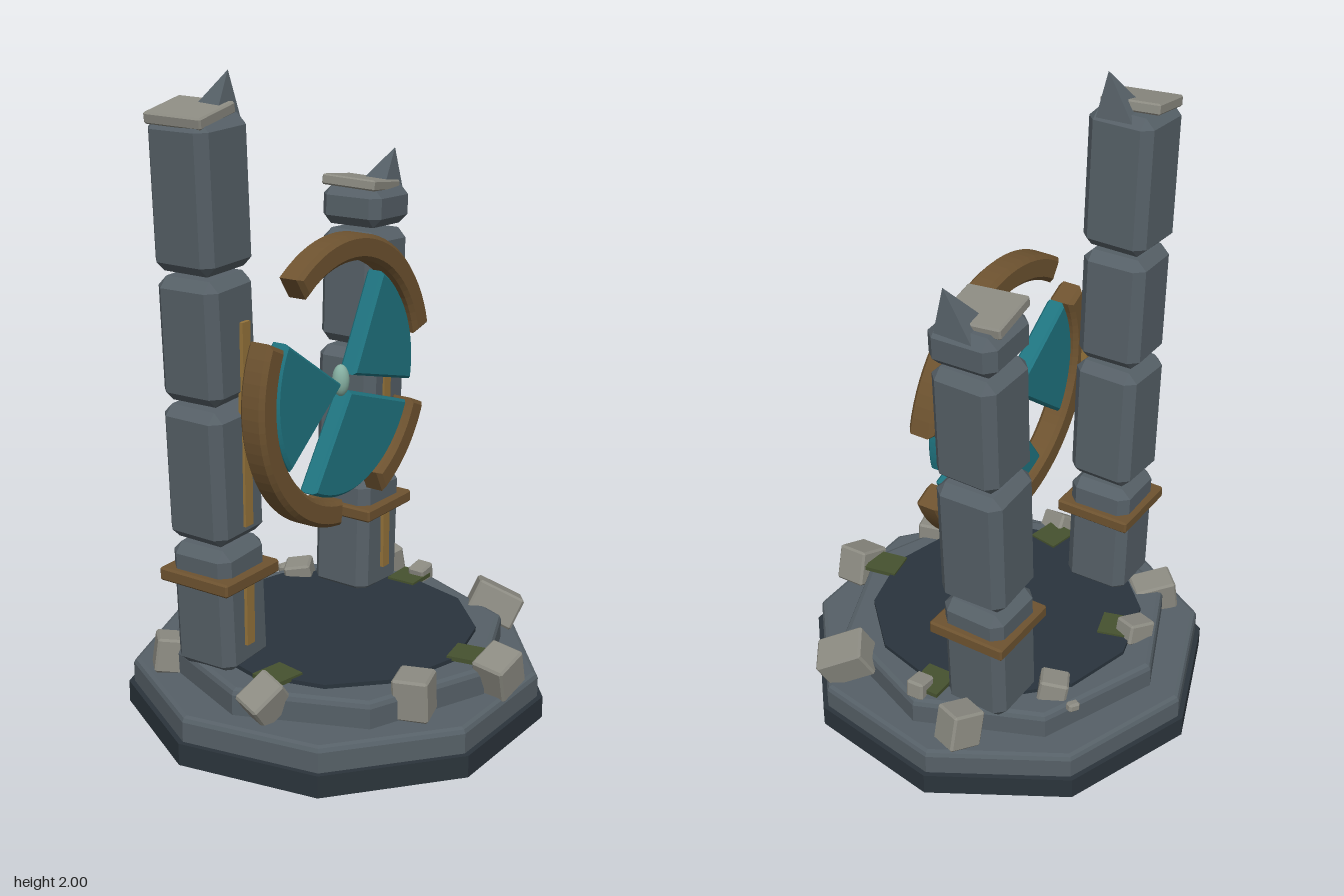
import * as THREE from 'three';
import { ConvexGeometry } from 'three/addons/geometries/ConvexGeometry.js';

const mat = (color, flatShading = true) => new THREE.MeshStandardMaterial({ color, flatShading });
const stone = mat(0x566067), darkStone = mat(0x2b343b), floorStone = mat(0x2a343d);
const bronze = mat(0x6e5330), gold = mat(0x94733a), teal = mat(0x1f7480);
const pearl = mat(0x86b0a2, false), rubble = mat(0x8c8b82), moss = mat(0x46522f);
const rad = THREE.MathUtils.degToRad;

function add(parent, name, geometry, material, x = 0, y = 0, z = 0) {
  const mesh = new THREE.Mesh(geometry, material);
  mesh.name = name;
  mesh.position.set(x, y, z);
  parent.add(mesh);
  return mesh;
}

// Box with every edge cut off by c
function chamferBox(w, h, d, c) {
  const pts = [];
  for (const sx of [-1, 1]) for (const sy of [-1, 1]) for (const sz of [-1, 1]) {
    const x = w / 2, y = h / 2, z = d / 2;
    pts.push(new THREE.Vector3(sx * x, sy * (y - c), sz * (z - c)),
      new THREE.Vector3(sx * (x - c), sy * y, sz * (z - c)),
      new THREE.Vector3(sx * (x - c), sy * (y - c), sz * z));
  }
  return new ConvexGeometry(pts);
}

// Leaning four-sided splinter of stone
function shard(r, h, tipX, tipZ) {
  const pts = [new THREE.Vector3(tipX, h, tipZ)];
  for (const [x, z] of [[-1, -1], [1, -1], [1, 1], [-1, 1]]) pts.push(new THREE.Vector3(x * r, 0, z * r));
  return new ConvexGeometry(pts);
}

// Flat outline given depth and a narrow bevel, centred on z = 0
function plate(shape, depth, bevel) {
  const g = new THREE.ExtrudeGeometry(shape, {
    depth: depth - 2 * bevel, bevelEnabled: true, bevelSize: bevel, bevelThickness: bevel,
    bevelSegments: 1, curveSegments: 12,
  });
  return g.translate(0, 0, bevel - depth / 2);
}

function tier(parent, name, profile, sides, start, material) {
  const pts = profile.map(([r, y]) => new THREE.Vector2(r, y));
  return add(parent, name, new THREE.LatheGeometry(pts, sides, rad(start)), material);
}

function buildBase() {
  const base = new THREE.Group();
  base.name = 'base';
  base.position.set(0.005, 0, 0.008);
  tier(base, 'foundation', [[0, 0], [0.662, 0], [0.662, 0.07], [0, 0.07]], 9, 25, darkStone);
  tier(base, 'lowerStep', [[0, 0.07], [0.645, 0.07], [0.645, 0.133], [0.639, 0.145], [0.627, 0.15], [0, 0.15]], 9, 25, stone);
  tier(base, 'upperStep', [[0, 0.15], [0.54, 0.15], [0.54, 0.213], [0.534, 0.226], [0.52, 0.232], [0, 0.232]], 8, 0, stone);
  tier(base, 'floorDisc', [[0.44, 0.2], [0.44, 0.245], [0, 0.245]], 12, 15, floorStone);
  return base;
}

function buildPillar(side, top, slabTilt) {
  const pillar = new THREE.Group();
  pillar.name = side < 0 ? 'tallPillar' : 'shortPillar';
  pillar.position.set(side * 0.37, 0, -0.168);
  // Shaft leans outward from collar height
  const shaft = new THREE.Group();
  shaft.name = 'shaft';
  shaft.rotation.z = -side * 0.042;
  shaft.position.x = -side * 0.021;
  pillar.add(shaft);
  const spans = [[0.22, 0.62], [0.635, 1.052], [1.066, 1.436], [1.45, top]];
  spans.forEach(([lo, hi], i) => {
    const w = 0.213 + (i % 2) * 0.006;
    const block = add(shaft, 'block', chamferBox(w, hi - lo, w, 0.03), stone, 0, (lo + hi) / 2, 0);
    block.rotation.y = 0.025 * (i % 2 ? 1 : -1) * side;
  });
  // Broken top: tilted slab and a splinter at one edge
  const slab = add(shaft, 'brokenSlab', chamferBox(0.175, 0.034, 0.19, 0.005), rubble, -0.022, top + 0.008, -0.006);
  slab.rotation.set(0.04, 0.08, slabTilt);
  add(shaft, 'splinter', shard(0.066, 0.15, 0.045, 0.04), stone, 0.037, top - 0.035, 0.012);
  add(pillar, 'collar', chamferBox(0.257, 0.042, 0.257, 0.006), bronze, side * 0.002, 0.515, 0.003);
  // Inlay strips on the front face
  for (const [lo, hi] of [[0.3, 0.5], [0.68, 1.3]])
    add(pillar, 'inlayStrip', new THREE.BoxGeometry(0.036, hi - lo, 0.02), gold, 0, (lo + hi) / 2, 0.108);
  return pillar;
}

function buildWheel() {
  const wheel = new THREE.Group();
  wheel.name = 'brokenWheel';
  wheel.position.set(0, 1.05, 0.02);
  // Broken rim
  for (const [from, to] of [[12, 126], [153, 264], [-65, -22]]) {
    const a = rad(from + 1.5), b = rad(to - 1.5);
    const s = new THREE.Shape();
    s.absarc(0, 0, 0.437, a, b, false);
    s.absarc(0, 0, 0.383, b, a, true);
    s.closePath();
    add(wheel, 'rimArc', plate(s, 0.085, 0.013), bronze);
  }
  // Wedge blades, each point set a little out from the hub
  for (const [from, to] of [[-12, 59], [149, 215], [240, 337]]) {
    const mid = rad((from + to) / 2);
    const s = new THREE.Shape();
    s.absarc(0, 0, 0.35, rad(from + 1.5), rad(to - 1.5), false);
    s.lineTo(0.045 * Math.cos(mid), 0.045 * Math.sin(mid));
    s.closePath();
    add(wheel, 'blade', plate(s, 0.062, 0.009), teal);
  }
  add(wheel, 'hub', new THREE.SphereGeometry(1, 16, 12), pearl).scale.set(0.027, 0.05, 0.027);
  return wheel;
}

function buildRubble() {
  const group = new THREE.Group();
  group.name = 'rubble';
  // x, y, z, width, height, depth, yaw, tilt
  const rocks = [
    [0.555, 0.22, -0.11, 0.16, 0.11, 0.12, -0.2, -0.5],
    [0.435, 0.215, 0.375, 0.12, 0.12, 0.11, 0.7, 0.25],
    [0.15, 0.215, 0.48, 0.11, 0.13, 0.11, -0.5, 0.04],
    [-0.285, 0.21, 0.425, 0.12, 0.1, 0.1, 0.5, 0.5],
    [-0.505, 0.195, 0.03, 0.14, 0.11, 0.1, 0, -0.15],
    [-0.37, 0.25, -0.21, 0.1, 0.07, 0.08, 0.4, 0.2],
    [-0.045, 0.235, -0.42, 0.09, 0.1, 0.09, -0.3, 0.2],
    [0.265, 0.225, -0.5, 0.11, 0.12, 0.1, 0.4, 0.2],
    [0.355, 0.25, -0.33, 0.07, 0.06, 0.06, 0.8, 0.1],
    [-0.09, 0.23, -0.5, 0.04, 0.03, 0.03, 0.3, 0.1],
  ];
  for (const [x, y, z, w, h, d, yaw, tilt] of rocks)
    add(group, 'rock', chamferBox(w, h, d, 0.007), rubble, x, y, z).rotation.set(tilt * 0.5, yaw, tilt);
  // Moss patches: x, z, yaw
  for (const [x, z, yaw] of [[-0.32, -0.18, -0.5], [0.36, 0.31, -0.6], [-0.235, 0.345, 0.6], [0.31, -0.31, 0.8]])
    add(group, 'mossPatch', new THREE.BoxGeometry(0.11, 0.014, 0.1), moss, x, 0.245, z).rotation.y = yaw;
  return group;
}

export function createModel() {
  const model = new THREE.Group();
  model.name = 'ruinedWheelGate';
  model.add(buildBase(), buildRubble());

  // Gate stands diagonally on the base
  const gate = new THREE.Group();
  gate.name = 'gate';
  gate.rotation.y = Math.PI / 4;
  gate.position.set(0, 0, 0.006);
  gate.add(buildPillar(-1, 1.885, 0.13), buildPillar(1, 1.575, -0.09), buildWheel());
  model.add(gate);
  return model;
}
